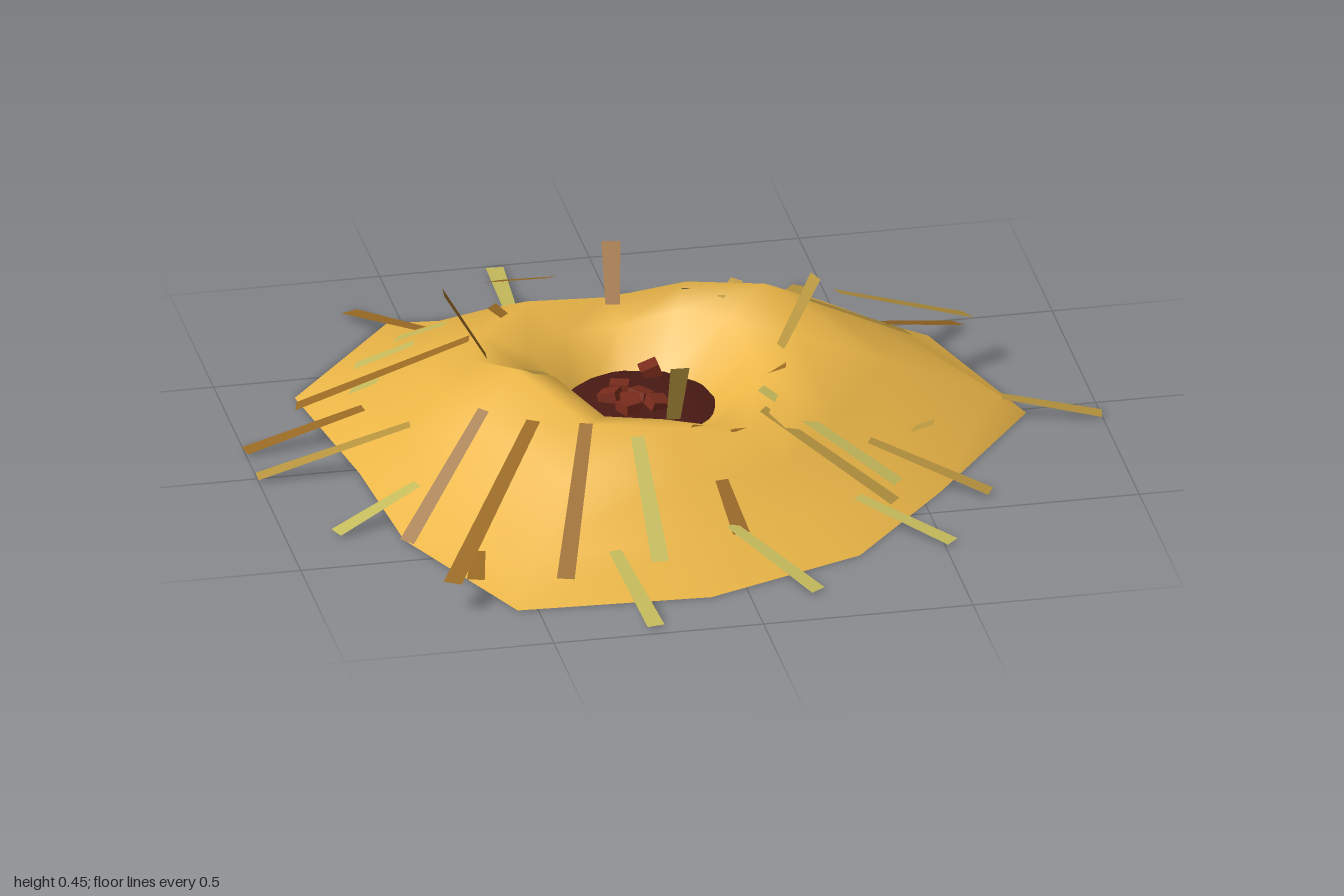
import * as THREE from 'three';

const CX = -0.09, CZ = 0.02, SEG = 12;
// Values every 30 degrees, starting at +x and turning towards +z
const outerR = [0.92, 0.74, 0.77, 0.815, 0.915, 0.74, 0.67, 0.85, 0.89, 0.73, 0.62, 0.90];
const skirtR = [0.92, 0.82, 0.80, 0.79, 0.80, 0.84, 0.85, 0.79, 0.80, 0.80, 0.82, 0.86]; // share of outerR
const skirtY = [0.06, 0.06, 0.055, 0.065, 0.065, 0.08, 0.09, 0.085, 0.07, 0.06, 0.06, 0.07];
const rimR = [0.38, 0.37, 0.38, 0.38, 0.39, 0.39, 0.39, 0.40, 0.40, 0.38, 0.34, 0.39];
const rimY = [0.25, 0.21, 0.17, 0.235, 0.24, 0.33, 0.265, 0.235, 0.235, 0.21, 0.275, 0.30];

// Radial cross-section of the mound at one of the 12 directions: [radius, height]
function section(i) {
  const o = outerR[i], s = o * skirtR[i], r = rimR[i], y = rimY[i];
  return [
    [o, 0],
    [s, skirtY[i]],
    [r + (s - r) * 0.45, skirtY[i] + (y - skirtY[i]) * 0.57],
    [r, y],
    [0.27, 0.11 + (y - 0.11) * 0.74],
    [0.165, 0.105],
    [0.14, 0.06],
    [0, 0.05],
  ];
}
const sections = outerR.map((_, i) => section(i));

// Height of the mound above a point, used to lay straw on its slope
function heightAt(x, z) {
  const dx = x - CX, dz = z - CZ, d = Math.hypot(dx, dz);
  const a = ((Math.atan2(dz, dx) / (Math.PI * 2)) * SEG + SEG) % SEG;
  const i = Math.floor(a) % SEG, t = a - Math.floor(a);
  const along = (s) => {
    if (d >= s[0][0]) return 0;
    const k = s.findIndex(([r]) => d >= r);
    const [r0, y0] = s[k - 1], [r1, y1] = s[k];
    return y1 + ((y0 - y1) * (d - r1)) / (r0 - r1);
  };
  return along(sections[i]) * (1 - t) + along(sections[(i + 1) % SEG]) * t;
}

function moundGeometry() {
  const pos = [], index = [], rings = sections[0].length;
  for (let k = 0; k < rings; k++) {
    for (let i = 0; i < SEG; i++) {
      const a = (i / SEG) * Math.PI * 2, [r, y] = sections[i][k];
      pos.push(CX + r * Math.cos(a), y, CZ + r * Math.sin(a));
    }
  }
  for (let k = 0; k < rings - 1; k++) {
    for (let i = 0; i < SEG; i++) {
      const j = (i + 1) % SEG;
      const a = k * SEG + i, b = k * SEG + j, c = a + SEG, d = b + SEG;
      index.push(a, c, b, b, c, d);
    }
  }
  const g = new THREE.BufferGeometry();
  g.setAttribute('position', new THREE.Float32BufferAttribute(pos, 3));
  g.setIndex(index);
  g.computeVertexNormals();
  return g;
}

const material = (color, extra = {}) => new THREE.MeshStandardMaterial({ color, ...extra });
const blade = (color) => material(color, { side: THREE.DoubleSide });
const BROWN = blade(0x9a6a24), TAN = blade(0xb8953f), GREEN = blade(0xc6bb5c), GOLD = blade(0xdcb64c);

// Paper-thin blade of straw between two points, slightly narrower at its inner end
function straw(p, q, mat, width) {
  const dir = q.clone().sub(p);
  const g = new THREE.PlaneGeometry(width, dir.length()).rotateX(-Math.PI / 2);
  const v = g.attributes.position;
  for (let i = 0; i < v.count; i++) if (v.getZ(i) < 0) v.setX(i, v.getX(i) * 0.75);
  const m = new THREE.Mesh(g, mat);
  m.position.copy(p).add(q).multiplyScalar(0.5);
  m.lookAt(q);
  m.name = 'straw';
  return m;
}

// Straw lying on the slope: inner x, z, outer x, z
const laid = [
  [BROWN, [[-0.5, -0.53, -0.61, -0.82], [-0.71, -0.18, -1, -0.14], [-0.29, 0.36, -0.42, 0.75],
    [-0.51, 0.24, -0.73, 0.42], [0.55, -0.28, 0.77, -0.47], [-0.59, 0.57, -0.62, 0.68], [0.0, 0.52, 0.02, 0.65]]],
  [TAN, [[-0.64, 0.02, -1, 0], [0.77, 0.03, 1, 0.07], [0.27, -0.46, 0.45, -0.74],
    [0.34, -0.18, 0.61, -0.28], [0.15, 0.27, 0.42, 0.49], [0.4, 0.29, 0.66, 0.43]]],
  [GREEN, [[-0.25, -0.7, -0.23, -0.98], [0.06, -0.57, 0.025, -0.78], [0.04, -0.36, 0.23, -0.76],
    [0.08, -0.25, 0.15, -0.5], [0.17, -0.26, 0.26, -0.68], [-0.67, 0.25, -0.88, 0.33], [-0.18, 0.42, -0.19, 0.73],
    [-0.29, 0.69, -0.25, 0.97], [0.0, 0.63, 0.16, 0.86], [0.16, 0.2, 0.44, 0.43], [0.33, 0.49, 0.52, 0.67],
    [-0.46, -0.44, -0.56, -0.52], [-0.55, -0.37, -0.68, -0.42], [-0.66, -0.25, -0.72, -0.28]]],
];
// Straw standing clear of the slope: inner x, y, z, outer x, y, z
const raised = [
  [BROWN, -0.46, 0.28, 0.03, -0.56, 0.45, 0.02], [GOLD, -0.08, 0.23, 0.35, -0.085, 0.41, 0.45],
  [TAN, 0.24, 0.24, 0.04, 0.33, 0.4, 0.01], [BROWN, -0.09, 0.22, -0.3, -0.075, 0.34, -0.39],
  [BROWN, -0.48, 0.28, -0.07, -0.87, 0.09, -0.18], [TAN, 0.4, 0.31, -0.08, 0.75, 0.13, -0.26],
  [BROWN, -0.41, 0.25, 0.33, -0.7, 0.08, 0.8], [BROWN, -0.22, 0.27, -0.37, -0.28, 0.07, -0.78],
];
// Short chips half sunk around the rim: x, z
const chips = [[-0.37, 0.18], [-0.36, -0.27], [0.21, 0.1], [0.17, -0.21], [0.07, 0.31], [-0.03, 0.33], [0.54, 0.21]];

export function createModel() {
  const root = new THREE.Group();
  root.name = 'strawNest';
  const add = (geo, mat, name, parent = root) => {
    const m = new THREE.Mesh(geo, mat);
    m.name = name;
    parent.add(m);
    return m;
  };

  add(moundGeometry(), material(0xebb647, { side: THREE.DoubleSide }), 'nestMound');

  // Flattened dark bed filling the hollow, its edge passing through the wall
  const bed = add(new THREE.SphereGeometry(0.225, 9, 6), material(0x4a1a14), 'hollowBed');
  bed.scale.set(1, 0.17, 1);
  bed.position.set(CX, 0.095, CZ);

  // Loose red lumps lying on the bed
  const lumps = new THREE.Group();
  lumps.name = 'lumps';
  root.add(lumps);
  const red = material(0x7a2c1c, { flatShading: true });
  [[-0.04, -0.11], [-0.13, -0.03], [-0.16, 0.01], [-0.09, 0.02], [-0.13, 0.08], [-0.06, 0.07], [-0.12, 0.05]].forEach(([x, z], i) => {
    const lump = add(new THREE.BoxGeometry(0.045, 0.03, 0.045), red, 'lump', lumps);
    lump.position.set(x, 0.136, z);
    lump.rotation.set(0.3 * Math.sin(i * 3), i * 1.3, 0.35 * Math.cos(i * 2));
  });

  const straws = new THREE.Group();
  straws.name = 'straws';
  root.add(straws);
  const P = (x, y, z) => new THREE.Vector3(x, y, z);
  for (const [mat, list] of laid) {
    for (const [x0, z0, x1, z1] of list) {
      const y0 = heightAt(x0, z0) + 0.006, y1 = heightAt(x1, z1) + 0.006;
      // Lift the blade where the slope bulges between its ends
      const lift = Math.max(0, heightAt((x0 + x1) / 2, (z0 + z1) / 2) + 0.006 - (y0 + y1) / 2);
      straws.add(straw(P(x0, y0 + lift, z0), P(x1, y1 + lift * 0.7, z1), mat, 0.042));
    }
  }
  for (const [mat, ...c] of raised) {
    straws.add(straw(P(c[0], c[1], c[2]), P(c[3], c[4], c[5]), mat, 0.045));
  }
  chips.forEach(([x, z], i) => {
    const a = Math.atan2(z - CZ, x - CX), dx = 0.03 * Math.cos(a), dz = 0.03 * Math.sin(a);
    const y = heightAt(x, z);
    straws.add(straw(P(x - dx, y - 0.01, z - dz), P(x + dx, y + 0.015, z + dz), i % 3 ? BROWN : TAN, 0.035));
  });

  return root;
}
